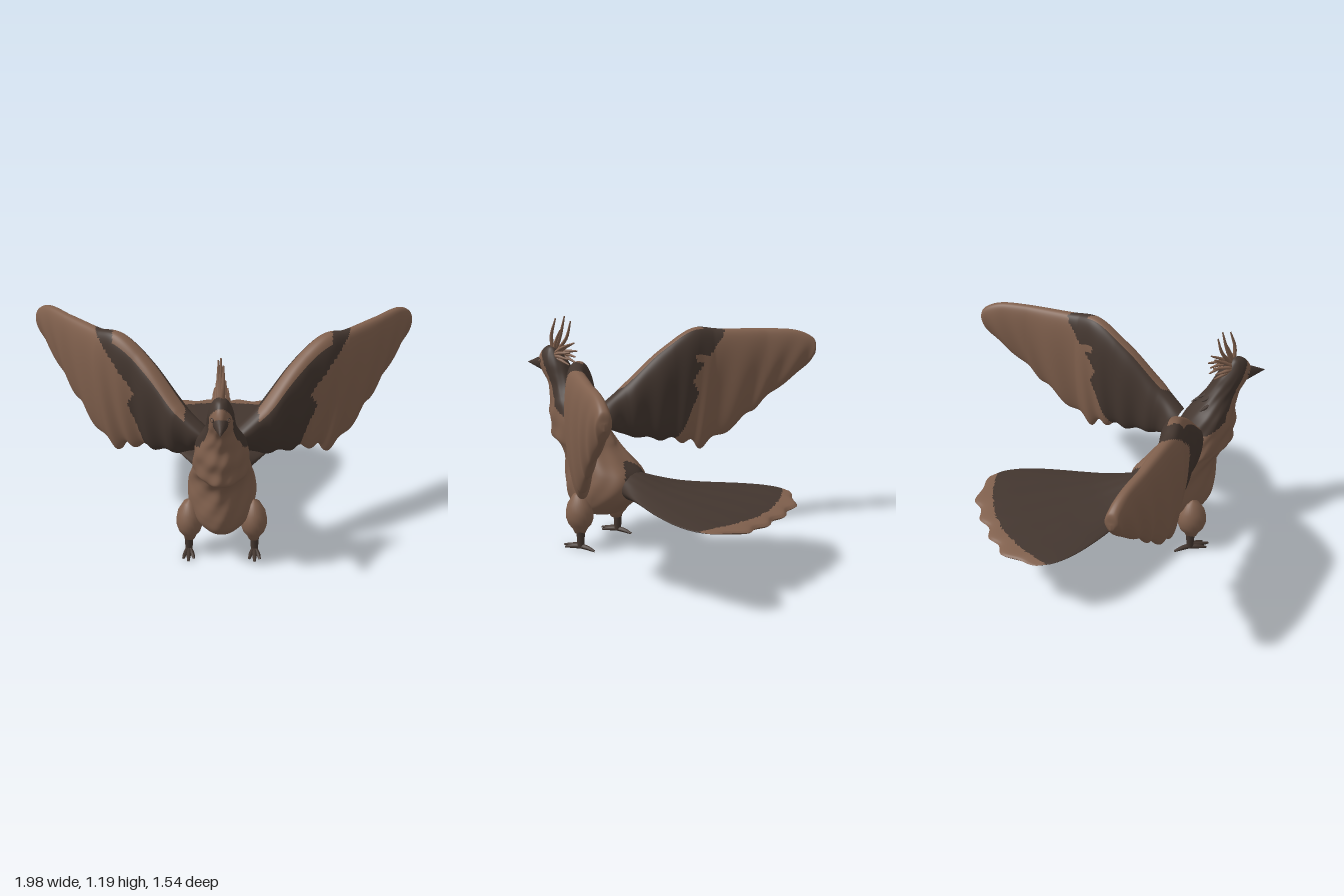
import * as THREE from 'three';

const material = (name, color) => {
  const m = new THREE.MeshStandardMaterial({ color });
  m.name = name;
  return m;
};

// Smooth lookup through evenly spaced rows, t from 0 to 1
function table(rows) {
  const size = rows[0].length;
  const curve = new THREE.CubicInterpolant(rows.map((_, i) => i / (rows.length - 1)), rows.flat(), size);
  return (t) => Array.from(curve.evaluate(t));
}

// Piecewise linear lookup of [key, value] pairs
function ramp(pairs, k) {
  for (let i = 1; i < pairs.length; i++) {
    const [a, va] = pairs[i - 1], [b, vb] = pairs[i];
    if (k <= b) return va + (vb - va) * Math.max(0, (k - a) / (b - a));
  }
  return pairs[pairs.length - 1][1];
}

const signedPow = (v, p) => Math.sign(v) * Math.abs(v) ** p;

// Closed skin of rings: point(u, angle) -> [x, y, z]; isDark picks the colour group of each cell
function skin(nu, nv, point, isDark) {
  const pos = [], sets = [[], []];
  for (let i = 0; i <= nu; i++)
    for (let j = 0; j < nv; j++) pos.push(...point(i / nu, (j / nv) * Math.PI * 2));
  for (let i = 0; i < nu; i++)
    for (let j = 0; j < nv; j++) {
      const k = (j + 1) % nv;
      const a = i * nv + j, b = a + nv, c = i * nv + k, d = c + nv;
      const mid = [0, 1, 2].map((n) => (pos[a * 3 + n] + pos[b * 3 + n] + pos[c * 3 + n] + pos[d * 3 + n]) / 4);
      const dark = isDark(mid, ((j + 0.5) / nv) * Math.PI * 2);
      sets[dark ? 1 : 0].push(a, b, c, b, d, c);
    }
  // turn the faces outward whichever way the rings run
  const v = [new THREE.Vector3(), new THREE.Vector3(), new THREE.Vector3()];
  let volume = 0;
  for (const s of sets)
    for (let i = 0; i < s.length; i += 3) {
      v.forEach((p, n) => p.fromArray(pos, s[i + n] * 3));
      volume += v[0].dot(v[1].clone().cross(v[2]));
    }
  if (volume < 0) sets.forEach((s) => s.reverse());
  const geo = new THREE.BufferGeometry();
  geo.setAttribute('position', new THREE.Float32BufferAttribute(pos, 3));
  geo.setIndex([...sets[0], ...sets[1]]);
  geo.addGroup(0, sets[0].length, 0);
  geo.addGroup(sets[0].length, sets[1].length, 1);
  geo.computeVertexNormals();
  return geo;
}

export function createModel() {
  const bird = new THREE.Group();
  const pale = material('pale brown', 0x80604d);
  const dark = material('dark brown', 0x43362f);
  const both = [pale, dark];

  const add = (name, geo, mat) => {
    const mesh = new THREE.Mesh(geo, mat);
    mesh.name = name;
    bird.add(mesh);
    return mesh;
  };

  // Tapered curved spike through points, used for crest, ruff and toes
  const spike = (name, pts, radius, mat, tip = 0.1) => {
    const curve = new THREE.CatmullRomCurve3(pts.map((p) => new THREE.Vector3(...p)));
    const geo = new THREE.TubeGeometry(curve, 10, 1, 8);
    const p = geo.attributes.position, q = new THREE.Vector3();
    for (let i = 0; i < p.count; i++) {
      const u = Math.floor(i / 9) / 10, c = curve.getPointAt(u);
      q.fromBufferAttribute(p, i).sub(c).multiplyScalar(radius * (1 - (1 - tip) * u * u)).add(c);
      p.setXYZ(i, q.x, q.y, q.z);
    }
    geo.computeVertexNormals();
    add(name, geo, mat);
  };

  // Body, neck and head: egg-shaped level sections [y, front z, back z, half width]
  const bodyAt = table([
    [0.168, 0.34, 0.28, 0.01], [0.185, 0.43, 0.18, 0.105], [0.23, 0.48, 0.12, 0.15], [0.29, 0.5, 0.06, 0.17],
    [0.35, 0.505, 0.04, 0.172], [0.41, 0.505, 0.06, 0.163], [0.47, 0.51, 0.13, 0.152], [0.525, 0.545, 0.2, 0.145],
    [0.56, 0.595, 0.23, 0.14], [0.62, 0.595, 0.28, 0.135], [0.68, 0.61, 0.32, 0.128], [0.74, 0.6, 0.36, 0.115],
    [0.79, 0.612, 0.4, 0.092], [0.84, 0.625, 0.44, 0.073], [0.89, 0.66, 0.475, 0.066], [0.94, 0.685, 0.505, 0.062],
    [0.985, 0.672, 0.54, 0.05], [1.02, 0.64, 0.57, 0.03], [1.034, 0.605, 0.595, 0.002],
  ]);
  const nape = [[0.6, 0.28], [0.655, 0.32], [0.68, 0.4], [0.72, 0.5], [0.82, 0.555], [0.92, 0.605], [1.0, 0.655], [1.03, 0.67]];
  add('body', skin(120, 80, (u, a) => {
    const [y, zf, zb, w] = bodyAt(u), s = Math.sin(a);
    const ruffle = 1 + 0.018 * Math.sin(a * 9 + u * 38) * Math.sin(u * Math.PI);
    const mid = zb + (zf - zb) * 0.4;
    const x = w * signedPow(Math.cos(a), s < 0 ? 0.8 : 1) * (1 - 0.2 * Math.max(0, s));
    return [x * ruffle, y, mid + s * ruffle * (s > 0 ? zf - mid : mid - zb)];
  }, ([x, y, z]) => (y > 0.6 && z < ramp(nape, y)) || (y > 0.36 && z < 0.14 - 0.8 * Math.abs(x))), both);

  // Tail fan with a scalloped pale rim
  const tailAt = table([
    [0.075, 0.35, 0.078], [0.118, 0.345, 0.07], [0.165, 0.34, 0.055], [0.21, 0.336, 0.042],
    [0.255, 0.333, 0.036], [0.3, 0.33, 0.033], [0.34, 0.329, 0.03], [0.375, 0.327, 0.028],
    [0.4, 0.325, 0.026], [0.41, 0.322, 0.023], [0.395, 0.318, 0.021],
  ]);
  add('tail', skin(90, 120, (u, a) => {
    const [w, y, h] = tailAt(u), f = Math.cos(a);
    const end = -0.757 + 0.15 * f ** 4 + 0.013 * Math.cos(f * 15.7) * u;
    const ridge = (1 + 0.08 * Math.cos(f * 15.7) * u) * Math.sqrt(1 - u ** 24);
    return [w * f, y + 0.022 * f * f * u + h * Math.sin(a) * ridge, 0.14 + (end - 0.14) * u];
  }, ([x, , z], a) => z > (Math.sin(a) > 0 ? -0.69 : -0.715) + 0.7 * x * x), both);

  // Wings: leading edge, trailing edge and depth, from shoulder to tip
  const lead = table([[0.08, 0.72], [0.2, 0.82], [0.35, 0.99], [0.5, 1.1], [0.63, 1.09], [0.78, 1.085], [0.9, 1.075], [0.965, 1.03], [0.975, 0.97]]);
  const trail = table([[0.08, 0.6], [0.2, 0.545], [0.33, 0.515], [0.45, 0.49], [0.56, 0.455], [0.71, 0.585], [0.81, 0.71], [0.93, 0.86], [0.975, 0.94]]);
  const depth = [[0.08, 0.345], [0.2, 0.28], [0.4, 0.115], [0.6, -0.02], [0.8, -0.235], [0.97, -0.445], [1, -0.475]];
  const thick = [[0, 0.06], [0.15, 0.083], [0.4, 0.086], [0.65, 0.058], [0.9, 0.044], [1, 0.042]];
  const darkTo = [[0.5, 0.385], [0.65, 0.43], [0.76, 0.475], [0.83, 0.435], [1.0, 0.565], [1.1, 0.64]];
  for (const side of [1, -1]) {
    add(side > 0 ? 'leftWing' : 'rightWing', skin(160, 84, (u, a) => {
      const t = (1 - Math.cos(a)) / 2, [lx, ly] = lead(u), [tx, ty] = trail(u);
      const feather = Math.sin(u * Math.PI * 18);
      const reach = t * (1 + 0.03 * feather * t * Math.sin(u * Math.PI));
      const x = lx + (tx - lx) * reach, y = ly + (ty - ly) * reach;
      const close = Math.sqrt(Math.max(0, 1 - u ** 20));
      const off = signedPow(Math.sin(a), 0.8) * ramp(thick, u) * (1 - 0.35 * t) * close * (1 + 0.16 * feather * t);
      return [side * (x + off * 0.66), y, ramp(depth, x) + off * 0.75 - 0.06 * t * (1 - u) ** 2];
    }, ([x, y], a) => {
      const ax = Math.abs(x);
      const crest = Math.cos(a - 0.15) > 0.93 && ax > 0.18 && ax < 0.54;
      const fleck = Math.sin(a) < 0 && Math.hypot((ax - 0.49) / 0.035, (y - 0.95) / 0.025) < 1;
      return ax < ramp(darkTo, y) && !crest && !fleck;
    }), both);
  }

  // Beak
  const beak = add('beak', new THREE.ConeGeometry(0.042, 0.11, 20), dark);
  beak.rotation.x = Math.PI / 2 + 0.08;
  beak.scale.x = 0.85;
  beak.position.set(0, 0.926, 0.714);

  // Crest: tall plumes on top, short swept ones behind
  for (const [x, y, z] of [[0, 1.195, 0.515], [0.012, 1.18, 0.565], [-0.012, 1.17, 0.485], [0.008, 1.12, 0.54]])
    spike('crestPlume', [[x / 2, 0.99, 0.585], [x, (y + 1) / 2 - 0.01, z + 0.03], [x, y, z]], 0.011, pale, 0.3);
  for (const side of [1, -1])
    for (const [x, y, z] of [[0.02, 1.055, 0.465], [0.03, 1.01, 0.455], [0.035, 0.975, 0.47], [0.03, 0.945, 0.465]])
      spike('sweptPlume', [[side * 0.02, 0.98, 0.585], [side * x, (y + 0.99) / 2, 0.53], [side * x, y, z]], 0.011, pale, 0.3);

  for (const side of [1, -1]) {
    // Eye with its dark lid ring
    const eye = new THREE.Group();
    eye.name = 'eye';
    const ring = new THREE.Mesh(new THREE.TorusGeometry(0.01, 0.0025, 8, 20), dark);
    const ball = new THREE.Mesh(new THREE.SphereGeometry(0.009, 16, 12), pale);
    ring.name = 'eyeRing';
    ball.name = 'eyeball';
    ball.scale.z = 0.5;
    eye.add(ring, ball);
    eye.position.set(side * 0.038, 0.948, 0.657);
    eye.rotation.y = side * 0.95;
    bird.add(eye);

    // Ruff feathers on the shoulders
    for (const [x, y, z] of [[0.02, 0.825, 0.425], [0.05, 0.79, 0.4]])
      spike('ruffFeather', [[side * x * 0.8, y + 0.03, z + 0.07], [side * x, y, z], [side * x, y - 0.005, z - 0.02]], 0.014, dark);

    // Thigh, shank and toes
    const thigh = add('thigh', new THREE.LatheGeometry(
      [[0.002, 0.085], [0.026, 0.09], [0.036, 0.115], [0.055, 0.14], [0.066, 0.175], [0.066, 0.21], [0.058, 0.25], [0.03, 0.3], [0.001, 0.315]]
        .map((p) => new THREE.Vector2(...p)), 28), pale);
    thigh.scale.z = 1.15;
    thigh.position.set(side * 0.162, 0, 0.31);
    const shank = add('shank', new THREE.CylinderGeometry(0.024, 0.018, 0.1, 14), dark);
    shank.position.set(side * 0.167, 0.063, 0.302);
    for (const [dx, z] of [[-0.028, 0.385], [0, 0.41], [0.028, 0.385], [0, 0.21]])
      spike('toe', [[side * 0.167, 0.018, 0.3], [side * 0.167 + dx * 0.6, 0.015, (z + 0.3) / 2], [side * 0.167 + dx, 0.006, z]], 0.014, dark, 0.35);
  }
  return bird;
}
